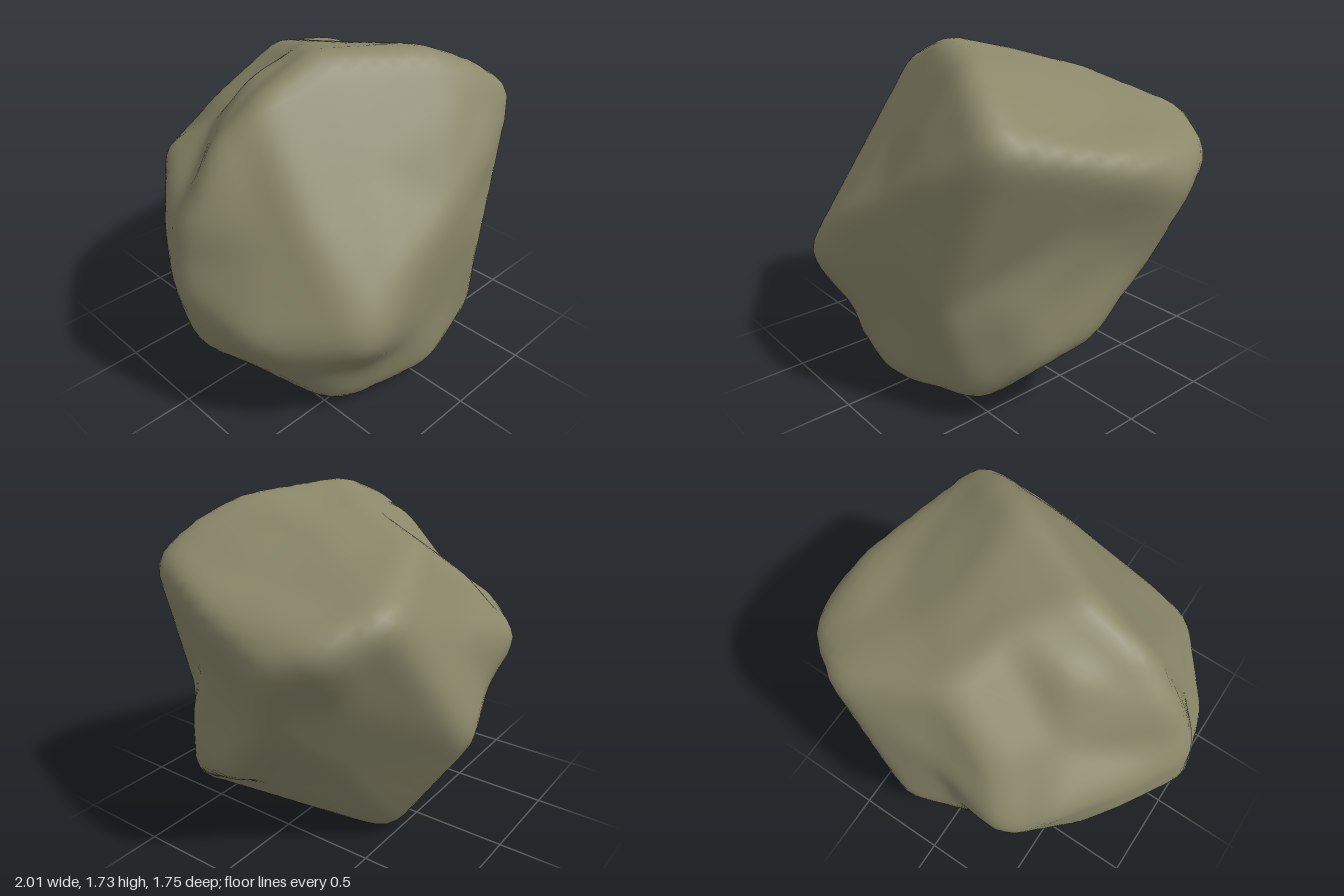
import * as THREE from 'three';
import { mergeVertices } from 'three/addons/utils/BufferGeometryUtils.js';

// Corners, ridge points and broad bulges of the boulder
const P = {
  crest: [-0.25, 1.74, 0.18], ridgeLow: [-0.97, 1.07, 0.05], ridgeA: [-0.81, 1.38, 0.09], ridgeB: [-0.58, 1.61, 0.13],
  ridgeC: [0.31, 1.705, 0.44], ridgeD: [0.54, 1.6, 0.56], frontPeak: [0.73, 1.45, 0.62],
  left: [-1.01, 0.76, 0.02], brow: [-0.56, 0.62, 0.88], cheek: [-0.93, 0.56, 0.42], jaw: [-0.73, 0.36, 0.53],
  foreheadL: [-0.6, 1.1, 0.49], foreheadR: [0.25, 1.42, 0.62],
  browA: [-0.36, 0.82, 0.83], browB: [0.1, 1.05, 0.79], browC: [0.42, 1.24, 0.74],
  chest: [0.3, 0.85, 0.76], chin: [-0.15, 0.42, 0.78], belly: [0.42, 0.55, 0.71],
  toe: [0.55, 0.13, 0.61], toeMid: [0.05, 0.07, 0.74], toeLeft: [-0.48, 0.05, 0.61],
  sideTop: [0.97, 1.28, 0.0], side: [1.02, 1.14, -0.31], sideBack: [0.92, 1.25, -0.58], backPeak: [0.66, 1.39, -0.72],
  brim: [0.83, 1.37, -0.35], lowTop: [0.7, 1.38, -0.05], topMid: [0.28, 1.6, -0.05],
  crestBack: [0.1, 1.55, -0.5], crestMid: [0, 1.66, -0.14], crown: [-0.33, 1.57, -0.16], backDip: [-0.22, 1.31, -0.61],
  knobTop: [-0.57, 1.1, -0.63], backKnob: [-0.41, 0.99, -0.82], leftBackUp: [-0.77, 1.08, -0.33], leftBack: [-0.8, 0.8, -0.34],
  leftHeel: [-0.65, 0.61, -0.51], leftFoot: [-0.74, 0.38, -0.3], leftLow: [-0.97, 0.46, 0.1],
  heel: [0.18, 0.64, -0.89], heelSide: [-0.1, 0.82, -0.77], under: [0.57, 0.48, -0.38],
  sideA: [0.9, 0.8, -0.2], sideB: [0.84, 0.42, 0.1], flank: [0.68, 0.65, 0.46], hip: [0.74, 0.31, 0.4],
  baseBack: [0.24, 0.03, -0.49], baseMid: [-0.2, 0.01, -0.35], baseLeft: [-0.7, 0.13, -0.05],
};

// Broad faces, each a ring of those points
const FACES = [
  // front brow
  'left ridgeLow ridgeA ridgeB foreheadL brow cheek',
  'ridgeB crest ridgeC foreheadR browB browA brow foreheadL',
  'ridgeC ridgeD frontPeak browC browB foreheadR',
  // top
  'crest ridgeC topMid crestBack crestMid',
  'ridgeC ridgeD frontPeak lowTop topMid',
  'topMid lowTop backPeak crestBack',
  'lowTop frontPeak sideTop brim',
  'brim sideTop side sideBack',
  'lowTop brim sideBack backPeak',
  // upper left
  'ridgeA ridgeB crest crestMid crown',
  'crown crestMid crestBack backDip backKnob knobTop leftBackUp ridgeLow ridgeA',
  'left ridgeLow leftBackUp leftBack',
  'leftBackUp knobTop backKnob leftHeel leftBack',
  // back hollow
  'crestBack backPeak heel heelSide backKnob backDip',
  // lower front and right flank
  'brow browA browB chest chin',
  'browB browC frontPeak belly chest',
  'chest belly toe toeMid chin',
  'chin toeMid toeLeft jaw brow',
  'frontPeak sideTop side sideA flank belly',
  'flank sideA sideB hip',
  'flank hip toe belly',
  // underside of the right back
  'side sideBack backPeak heel under sideA',
  'heel baseBack under',
  'under baseBack toe hip sideB sideA',
  // base
  'baseBack toe toeMid toeLeft baseLeft baseMid',
  // lower left, back then front
  'left leftBack leftHeel leftFoot leftLow',
  'backKnob heelSide heel leftHeel',
  'leftHeel heel baseBack baseMid baseLeft leftFoot',
  'leftFoot baseLeft leftLow',
  'left cheek jaw leftLow',
  'cheek brow jaw',
  'jaw toeLeft baseLeft leftLow',
];

const MIDDLE = new THREE.Vector3(0, 0.87, 0);
const OVERSHOOT = 1.02; // ring points stand proud, as rounding takes a little off the ridges
const SAMPLES = 22;
const SPREAD = 0.11;

// Fan each face around its centre
function buildFacets() {
  const facets = [];
  for (const face of FACES) {
    const ring = face.split(' ').map((n) => new THREE.Vector3(...P[n]).sub(MIDDLE).multiplyScalar(OVERSHOOT));
    const centre = ring.reduce((s, p) => s.add(p), new THREE.Vector3()).divideScalar(ring.length);
    ring.forEach((p, i) => facets.push([centre, p, ring[(i + 1) % ring.length]]));
  }
  return facets;
}

function createBoulderGeometry() {
  const facets = buildFacets();
  const ray = new THREE.Ray();
  const hit = new THREE.Vector3();
  const reach = (dir) => {
    ray.direction.copy(dir);
    let far = 0;
    for (const [a, b, c] of facets) {
      if (ray.intersectTriangle(a, b, c, false, hit)) far = Math.max(far, hit.length());
    }
    return far;
  };

  const base = new THREE.IcosahedronGeometry(1, 20);
  base.deleteAttribute('normal');
  base.deleteAttribute('uv');
  const geometry = mergeVertices(base, 1e-4);
  const pos = geometry.attributes.position;
  const dir = new THREE.Vector3();
  const u = new THREE.Vector3();
  const v = new THREE.Vector3();
  const sample = new THREE.Vector3();

  // Average the reach over a small cone, which rounds the ridges
  for (let i = 0; i < pos.count; i++) {
    dir.fromBufferAttribute(pos, i).normalize();
    const steep = Math.abs(dir.y) > 0.9;
    u.set(steep ? 1 : 0, steep ? 0 : 1, 0).cross(dir).normalize();
    v.crossVectors(dir, u);
    let sum = 0;
    let count = 0;
    for (let k = 0; k < SAMPLES; k++) {
      const r = SPREAD * Math.sqrt((k + 0.5) / SAMPLES);
      const a = k * 2.39996;
      sample.copy(dir).addScaledVector(u, r * Math.cos(a)).addScaledVector(v, r * Math.sin(a)).normalize();
      const d = reach(sample);
      if (d > 0) { sum += d; count++; }
    }
    dir.multiplyScalar(sum / Math.max(count, 1));
    pos.setXYZ(i, dir.x, dir.y, dir.z);
  }

  // Stand it on the ground
  geometry.computeBoundingBox();
  geometry.translate(0, -geometry.boundingBox.min.y, 0);
  geometry.computeVertexNormals();
  return geometry;
}

export function createModel() {
  const group = new THREE.Group();
  group.name = 'rock';
  const stone = new THREE.MeshStandardMaterial({ color: 0x8a8769 });
  stone.name = 'mossy stone';
  const boulder = new THREE.Mesh(createBoulderGeometry(), stone);
  boulder.name = 'boulder';
  group.add(boulder);
  return group;
}
